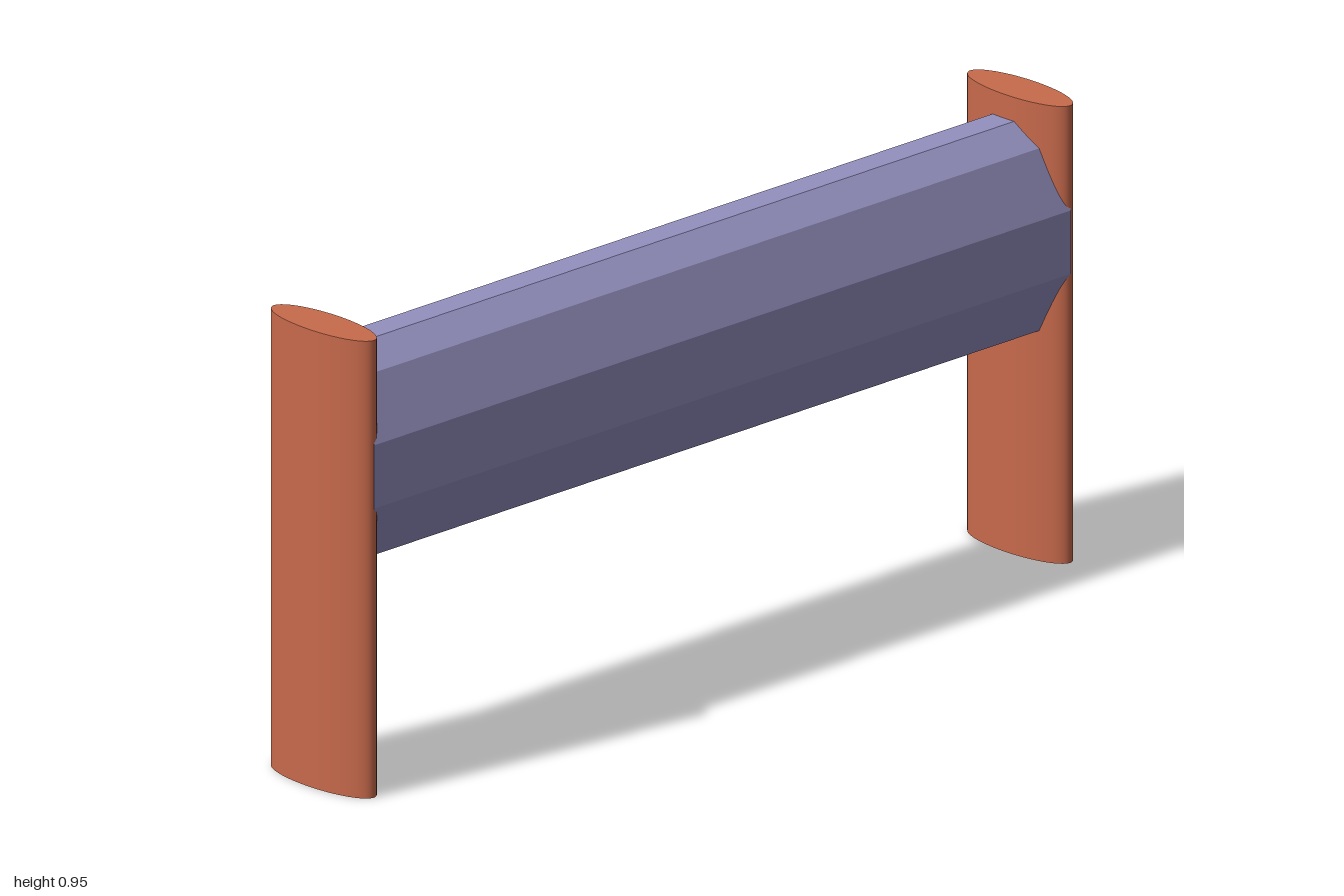
import * as THREE from 'three';

export function createModel() {
  const group = new THREE.Group();
  const postMaterial = new THREE.MeshStandardMaterial({ color: 0xc86a4c });
  const beamMaterial = new THREE.MeshStandardMaterial({ color: 0x9490c0, flatShading: true });

  const postHeight = 0.953, postX = 0.953;

  // Two upright posts with an elliptical section
  const postGeometry = new THREE.CylinderGeometry(1, 1, postHeight, 64);
  postGeometry.scale(0.047, 1, 0.14);
  postGeometry.translate(0, postHeight / 2, 0);
  for (const side of [-1, 1]) {
    const post = new THREE.Mesh(postGeometry, postMaterial);
    post.name = side > 0 ? 'leftPost' : 'rightPost';
    post.position.x = side * postX;
    group.add(post);
  }

  // Faceted beam: half profile (depth, height) mirrored, then run between the posts
  const half = [[0.09, 0.48], [0.142, 0.603], [0.142, 0.735], [0.09, 0.86], [0.03, 0.903]];
  const mirrored = half.map(([z, y]) => [-z, y]).reverse();
  const profile = new THREE.Shape([...half, ...mirrored].map(([z, y]) => new THREE.Vector2(z, y)));
  const beamGeometry = new THREE.ExtrudeGeometry(profile, { depth: 2 * postX, bevelEnabled: false });
  beamGeometry.translate(0, 0, -postX);
  beamGeometry.rotateY(Math.PI / 2);
  const beam = new THREE.Mesh(beamGeometry, beamMaterial);
  beam.name = 'beam';
  group.add(beam);

  return group;
}
